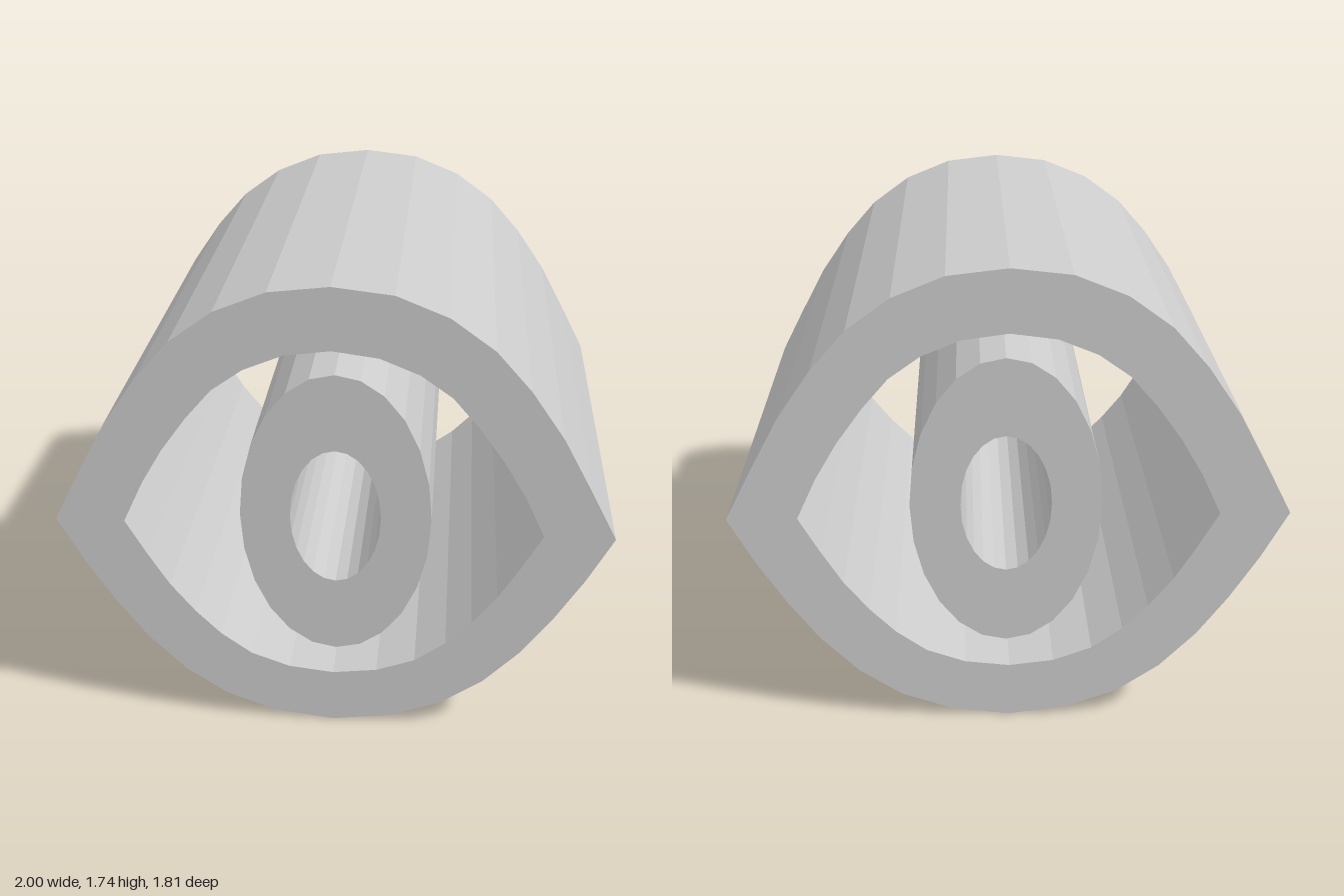
import * as THREE from 'three';

const DEPTH = 1.81;
const CORNER_Y = 0.825;

// Almond outline, mirrored in x: right corner, upper lid to the left corner, lower lid back.
// Each lid lists its right half from the corner side to the middle (x = 0).
function almond(cornerX, upper, lower) {
  const mirror = (half) => half.slice(0, -1).reverse().map(([x, y]) => [-x, y]);
  const points = [
    [cornerX, CORNER_Y], ...upper, ...mirror(upper),
    [-cornerX, CORNER_Y], ...[...lower, ...mirror(lower)].reverse(),
  ];
  return points.map(([x, y]) => new THREE.Vector2(x, y));
}

// Oval outline with a fixed number of sides.
function oval(cx, cy, rx, ry, sides = 24) {
  return Array.from({ length: sides }, (_, i) => {
    const a = (i / sides) * Math.PI * 2;
    return new THREE.Vector2(cx + rx * Math.cos(a), cy + ry * Math.sin(a));
  });
}

// Straight tube with the given outline and opening, centred on z = 0.
function tube(name, outline, opening, material) {
  const shape = new THREE.Shape(outline);
  shape.holes.push(new THREE.Path(opening));
  const geometry = new THREE.ExtrudeGeometry(shape, { depth: DEPTH, bevelEnabled: false });
  geometry.translate(0, 0, -DEPTH / 2);
  const mesh = new THREE.Mesh(geometry, material);
  mesh.name = name;
  return mesh;
}

export function createModel() {
  const group = new THREE.Group();
  group.name = 'eyeExtrusion';
  const material = new THREE.MeshStandardMaterial({ color: 0xcccccc, flatShading: true });

  // Almond-shaped outer shell
  const outer = almond(1,
    [[0.91, 1.0], [0.8, 1.205], [0.68, 1.38], [0.555, 1.522], [0.4, 1.635], [0.215, 1.71], [0, 1.735]],
    [[0.905, 0.65], [0.8, 0.485], [0.688, 0.335], [0.555, 0.2], [0.4, 0.095], [0.215, 0.028], [0, 0]]);
  const inner = almond(0.75,
    [[0.68, 0.975], [0.6, 1.112], [0.508, 1.24], [0.415, 1.348], [0.303, 1.428], [0.164, 1.485], [0, 1.507]],
    [[0.673, 0.69], [0.597, 0.567], [0.507, 0.455], [0.415, 0.362], [0.303, 0.281], [0.162, 0.23], [0, 0.211]]);
  group.add(tube('eyelidShell', outer, inner, material));

  // Oval iris tube, open through the middle
  group.add(tube('irisTube',
    oval(0.012, 0.872, 0.341, 0.548),
    oval(0.012, 0.872, 0.162, 0.261), material));

  return group;
}
